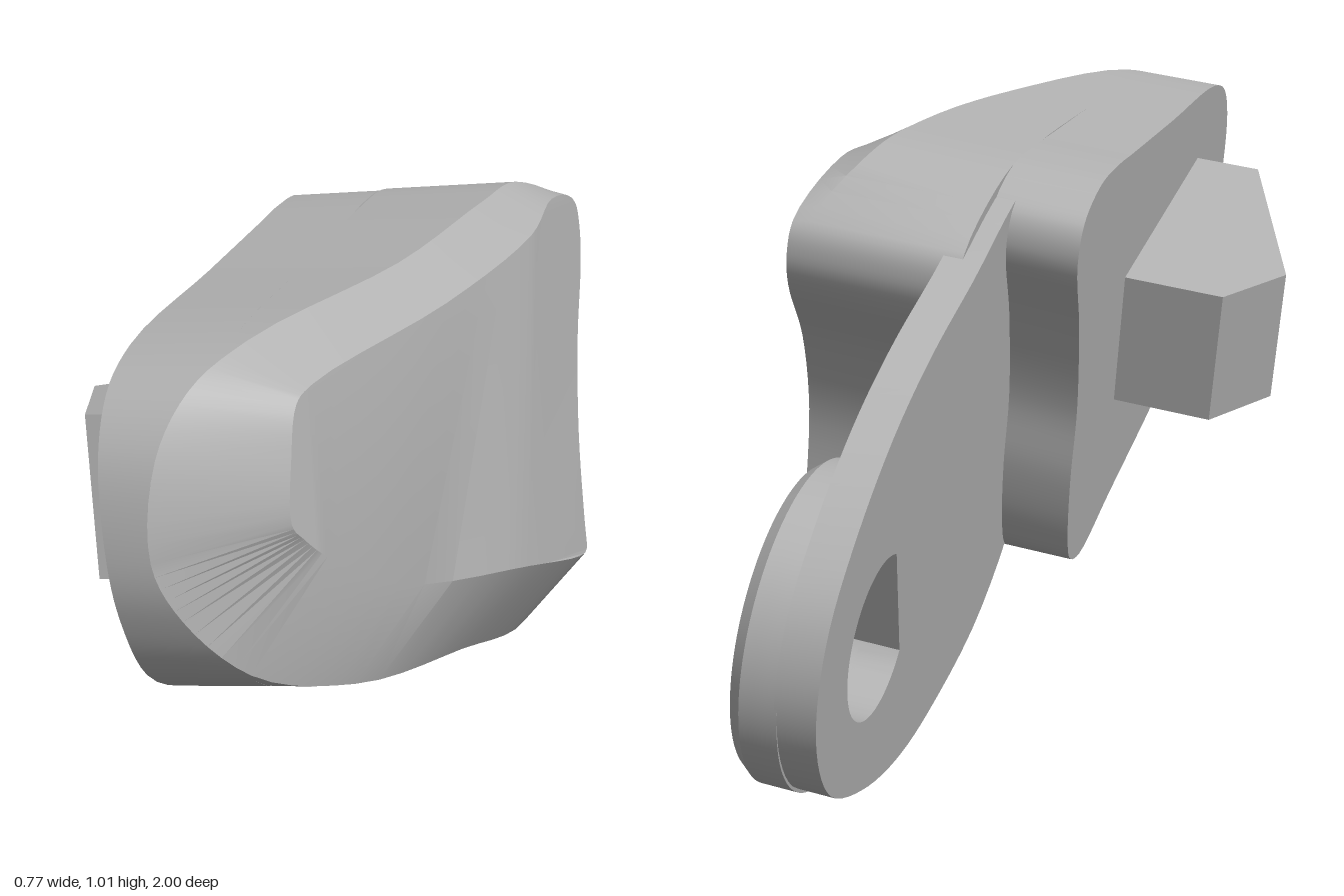
import * as THREE from 'three';
import { toCreasedNormals } from 'three/addons/utils/BufferGeometryUtils.js';
import { ConvexGeometry } from 'three/addons/geometries/ConvexGeometry.js';

// Working frame: h runs to the rear, y up, t along the tilted thickness axis.
const frame = new THREE.Matrix4().makeBasis(
  new THREE.Vector3(-0.13, 0, -1),
  new THREE.Vector3(-0.13, 1, 0),
  new THREE.Vector3(0.984, 0.128, -0.128)
).setPosition(-0.062, 0, 0);

const STEP = 5; // samples between two control points
const FULL = 0.477; // thickness of the rear half of the body

// Body edge from rear top, round the nose, to rear bottom:
// wall z, y and its top t | edge of the outer face z, y
const EDGE = [
  [-0.34, 0.85, 0.45, -0.34, 0.845],
  [-0.15, 0.945, 0.41, -0.13, 0.915],
  [0.05, 0.965, 0.39, 0.06, 0.905],
  [0.4, 0.97, 0.33, 0.42, 0.905],
  [0.78, 0.975, 0.19, 0.8, 0.91],
  [0.9, 0.94, 0.13, 0.845, 0.895],
  [0.97, 0.86, 0.09, 0.875, 0.82],
  [1, 0.71, 0.07, 0.895, 0.725],
  [0.985, 0.61, 0.1, 0.87, 0.69],
  [0.92, 0.49, 0.17, 0.82, 0.64],
  [0.7, 0.365, 0.26, 0.646, 0.514],
  [0.3, 0.23, 0.33, 0.26, 0.37],
  [-0.09, 0.1, 0.353, -0.12, 0.225],
];
// S-shaped rear of the right portion, and the set-back rear of the left portion
const REAR = [[-0.13, 0.135], [-0.145, 0.2], [-0.147, 0.28], [-0.17, 0.45],
  [-0.24, 0.61], [-0.335, 0.73], [-0.355, 0.79]];
const LEFT_REAR = [[0.11, 0.17], [0.03, 0.19], [-0.01, 0.25], [-0.05, 0.38],
  [-0.07, 0.52], [-0.14, 0.7], [-0.21, 0.83], [-0.2, 0.9]];
const LEFT_TOP = [[-0.12, 0.95], [0, 0.965], [0.1, 0.966]];

// The outer face is flat at the rear and tapers towards the nose
const outerT = z => Math.min(FULL, 0.477 - 0.312 * (z - 0.2));

// Closed smooth ring through [z, y, t] points
function ring(points) {
  const curve = new THREE.CatmullRomCurve3(points.map(([z, y, t = 0]) => new THREE.Vector3(-z, y, t)), true);
  const n = points.length * STEP;
  return Array.from({ length: n }, (_, i) => curve.getPoint(i / n));
}

function buildBody() {
  const left = ring([...LEFT_TOP, ...EDGE.slice(3, 12).map(([z, y]) => [z, y]), ...LEFT_REAR]);
  const wall = ring([
    ...EDGE.map(([z, y, t]) => [z, y, t]),
    ...REAR.map(([z, y]) => [z, y, Math.min(0.47, 0.353 + 0.7 * (y - 0.1))]),
  ]);
  const outer = ring([
    ...EDGE.map(([, , , z, y]) => [z, y, outerT(z)]),
    ...REAR.map(([z, y]) => [Math.min(z, -0.14), Math.max(y, 0.225), FULL]),
  ]);
  const stepLevel = (p, i) => new THREE.Vector3(p.x, p.y, Math.min(0.165, wall[i].z));
  const rings = [left, left.map(stepLevel), wall.map(stepLevel), wall, outer];
  const n = left.length;
  const pos = [];
  const tri = (a, b, c) => {
    const area = b.clone().sub(a).cross(c.clone().sub(a)).length();
    if (area > 1e-8) for (const p of [a, b, c]) pos.push(p.x, p.y, p.z);
  };
  const quad = (a, b, c, d) => { tri(a, b, c); tri(a, c, d); };

  // Walls, rear step and chamfers
  for (let k = 0; k < rings.length - 1; k++) {
    for (let i = 0; i < n; i++) {
      const j = (i + 1) % n;
      quad(rings[k][i], rings[k][j], rings[k + 1][j], rings[k + 1][i]);
    }
  }
  const cap = (points, flip) => {
    const flat = points.map(p => new THREE.Vector2(p.x, p.y));
    for (const [a, b, c] of THREE.ShapeUtils.triangulateShape(flat, [])) {
      if (flip) tri(points[a], points[c], points[b]);
      else tri(points[a], points[b], points[c]);
    }
  };
  // Flat left face and flat rear half of the outer face
  cap(left, true);
  cap([...outer.slice(0, 2 * STEP + 1), ...outer.slice(11 * STEP)], false);
  // Tapered front half of the outer face, upper edge joined to lower edge
  for (let i = 2 * STEP; i < 6.5 * STEP; i++) {
    const j = 13 * STEP - i;
    quad(outer[i], outer[i + 1], outer[j - 1], outer[j]);
  }
  const geo = new THREE.BufferGeometry();
  geo.setAttribute('position', new THREE.Float32BufferAttribute(pos, 3));
  return geo;
}

// Circle with one side cut straight
function dOutline(path, radius) {
  const mid = THREE.MathUtils.degToRad(160), half = THREE.MathUtils.degToRad(51);
  path.absarc(0.695, 0.29, radius, mid + half, mid - half + Math.PI * 2, false);
  path.closePath();
  return path;
}

// Flat plate reaching back from inside the body
function buildTang() {
  const outline = ring([
    [0.1, 0.8], [0.1, 0.3], [-0.08, 0.1], [-0.36, 0.003], [-0.53, -0.014], [-0.7, 0.012],
    [-0.86, 0.08], [-0.94, 0.18], [-0.968, 0.29], [-0.945, 0.41], [-0.86, 0.53],
    [-0.73, 0.65], [-0.58, 0.74], [-0.39, 0.82], [-0.15, 0.925], [0, 0.92],
  ]);
  const shape = new THREE.Shape(outline.map(p => new THREE.Vector2(p.x, p.y)));
  shape.holes.push(dOutline(new THREE.Path(), 0.14));
  return new THREE.ExtrudeGeometry(shape, { depth: 0.07, bevelEnabled: false, curveSegments: 40 })
    .translate(0, 0, 0.13);
}

// Raised ring around the hole: straight lower rim, then a narrow chamfer
function buildBoss() {
  const shape = dOutline(new THREE.Shape(), 0.272);
  shape.holes.push(dOutline(new THREE.Path(), 0.14));
  const geo = new THREE.ExtrudeGeometry(shape, { depth: 0.085, steps: 4, bevelEnabled: false, curveSegments: 40 });
  const p = geo.attributes.position;
  for (let i = 0; i < p.count; i++) {
    const dx = p.getX(i) - 0.695, dy = p.getY(i) - 0.29;
    if (p.getZ(i) > 0.08 && Math.hypot(dx, dy) > 0.2) {
      p.setXY(i, 0.695 + dx * 0.94, 0.29 + dy * 0.94);
    }
  }
  return geo.translate(0, 0, 0.195);
}

// Five-sided block standing out of the left face
function buildBlock() {
  const profile = [[0.754, 0.576, 0.01], [0.754, 0.576, -0.128], [0.354, 0.481, -0.281],
    [0.226, 0.451, -0.19], [0.226, 0.451, 0.01]];
  const points = [];
  for (const [z, y, t] of profile) {
    points.push(new THREE.Vector3(-z, y, t), new THREE.Vector3(-z + 0.05, y + 0.26, t));
  }
  return new ConvexGeometry(points);
}

export function createModel() {
  const group = new THREE.Group();
  const grey = new THREE.MeshStandardMaterial({ color: 0xb2b2b2 });
  grey.name = 'plain grey';
  const add = (name, geo, crease) => {
    geo.applyMatrix4(frame);
    const mesh = new THREE.Mesh(toCreasedNormals(geo, crease), grey);
    mesh.name = name;
    group.add(mesh);
  };
  add('body', buildBody(), 0.42);
  add('tangPlate', buildTang(), 0.5);
  add('pivotBoss', buildBoss(), 0.4);
  add('sideBlock', buildBlock(), 0.1);
  return group;
}
